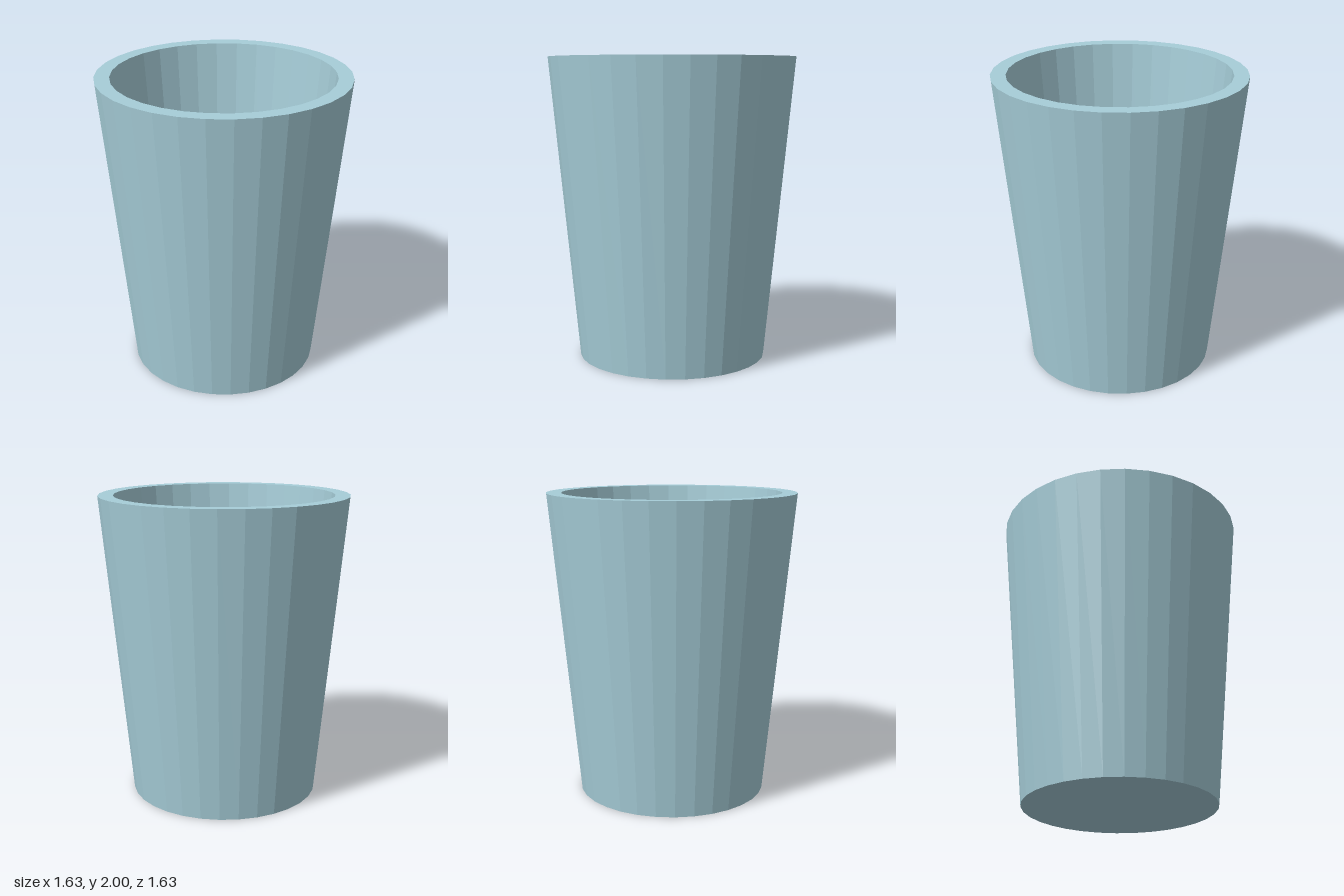
import * as THREE from 'three';

const SIDES = 32;

export function createModel() {
  const model = new THREE.Group();
  model.name = 'cup';

  const material = new THREE.MeshStandardMaterial({ color: 0xa6cdd8, flatShading: true });

  // Closed cross-section: underside, tapered outer wall, flat rim, inner wall, inner floor
  const profile = [
    [0, 0],
    [0.625, 0],
    [0.815, 2],
    [0.717, 2],
    [0.556, 0.14],
    [0, 0.14],
  ].map(([r, y]) => new THREE.Vector2(r, y));

  const body = new THREE.Mesh(new THREE.LatheGeometry(profile, SIDES), material);
  body.name = 'cupBody';
  model.add(body);

  return model;
}
